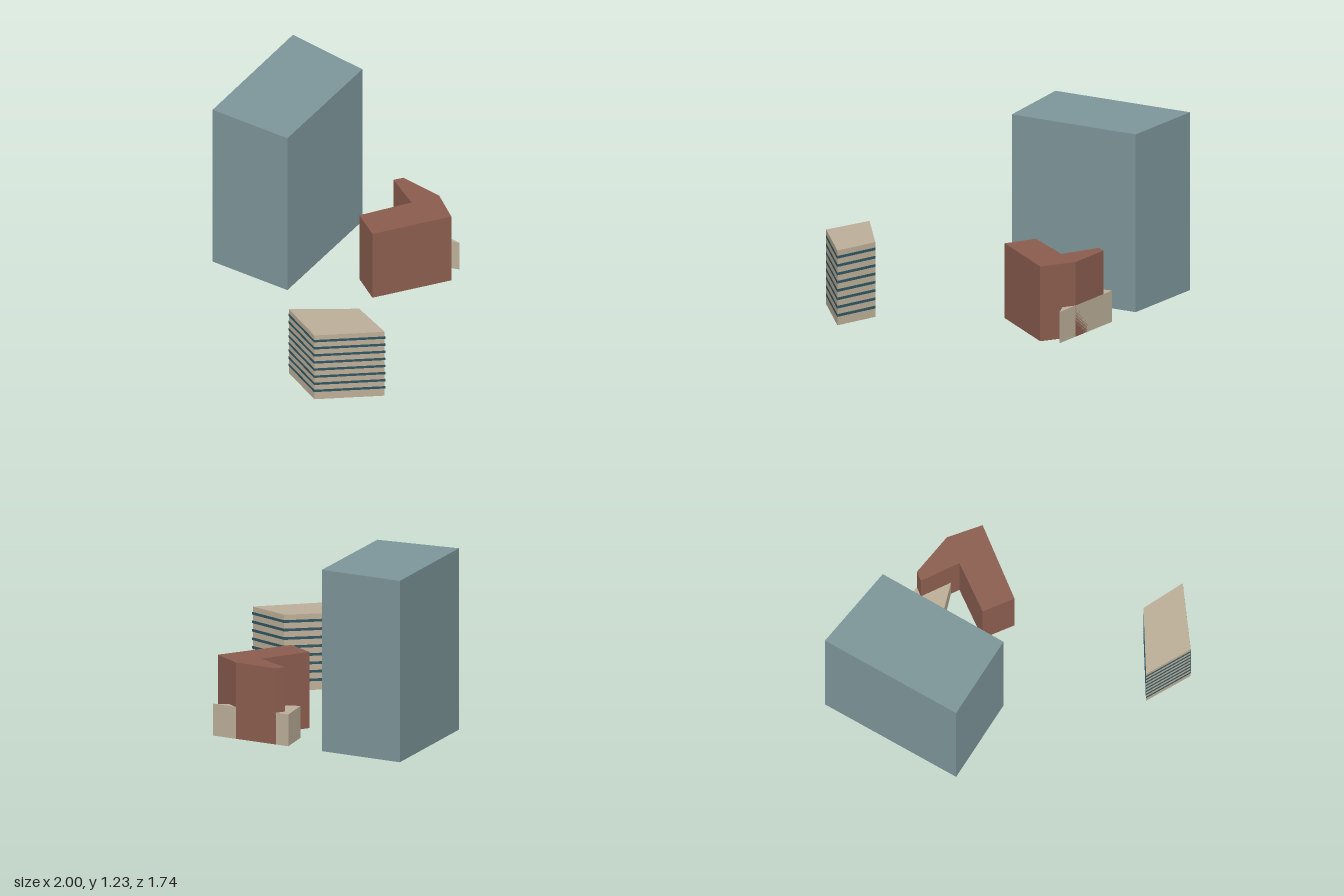
import * as THREE from 'three';

const paint = (color) => new THREE.MeshStandardMaterial({ color });
const glass = paint(0x7d9599);
const brick = paint(0x8b5d4e);
const stone = paint(0xbcae98);
const windowBlue = paint(0x2f5663);

// Upright prism over a ground plan of [x, z] corners
function prism(name, plan, base, height, material) {
  const shape = new THREE.Shape(plan.map(([x, z]) => new THREE.Vector2(x, -z)));
  const geometry = new THREE.ExtrudeGeometry(shape, { depth: height, bevelEnabled: false });
  geometry.rotateX(-Math.PI / 2).translate(0, base, 0);
  const mesh = new THREE.Mesh(geometry, material);
  mesh.name = name;
  return mesh;
}

// Ground plan scaled about its middle
function grow(plan, factor) {
  const cx = plan.reduce((sum, p) => sum + p[0], 0) / plan.length;
  const cz = plan.reduce((sum, p) => sum + p[1], 0) / plan.length;
  return plan.map(([x, z]) => [cx + (x - cx) * factor, cz + (z - cz) * factor]);
}

export function createModel() {
  const model = new THREE.Group();
  model.name = 'cityBlock';

  // Tall tower
  model.add(prism('tower',
    [[-1, -0.87], [-0.4, -0.87], [-0.265, 0.043], [-0.848, 0.118]], 0, 1.225, glass));

  // Angled brick building, cut flat at the back
  model.add(prism('brickBuilding',
    [[-0.045, -0.87], [0.265, -0.87], [0.48, -0.742], [0.215, -0.255],
      [0.012, -0.36], [0.178, -0.692], [-0.078, -0.81]], 0, 0.515, brick));

  // Low wedge-shaped annex running through the brick building
  model.add(prism('annex', [[-0.14, -0.87], [0.44, -0.87], [-0.082, -0.62]], 0, 0.215, stone));

  // Office block with bands of windows
  const office = new THREE.Group();
  office.name = 'officeBlock';
  const plan = [[0.353, 0.748], [0.7, 0.443], [0.997, 0.533], [0.673, 0.865]];
  office.add(prism('officeWalls', plan, 0, 0.515, stone));
  const bandPlan = grow(plan, 1.012);
  for (let i = 0; i < 8; i++) {
    office.add(prism(`windowBand${i + 1}`, bandPlan, 0.059 + i * 0.0573, 0.018, windowBlue));
  }
  model.add(office);
  return model;
}
